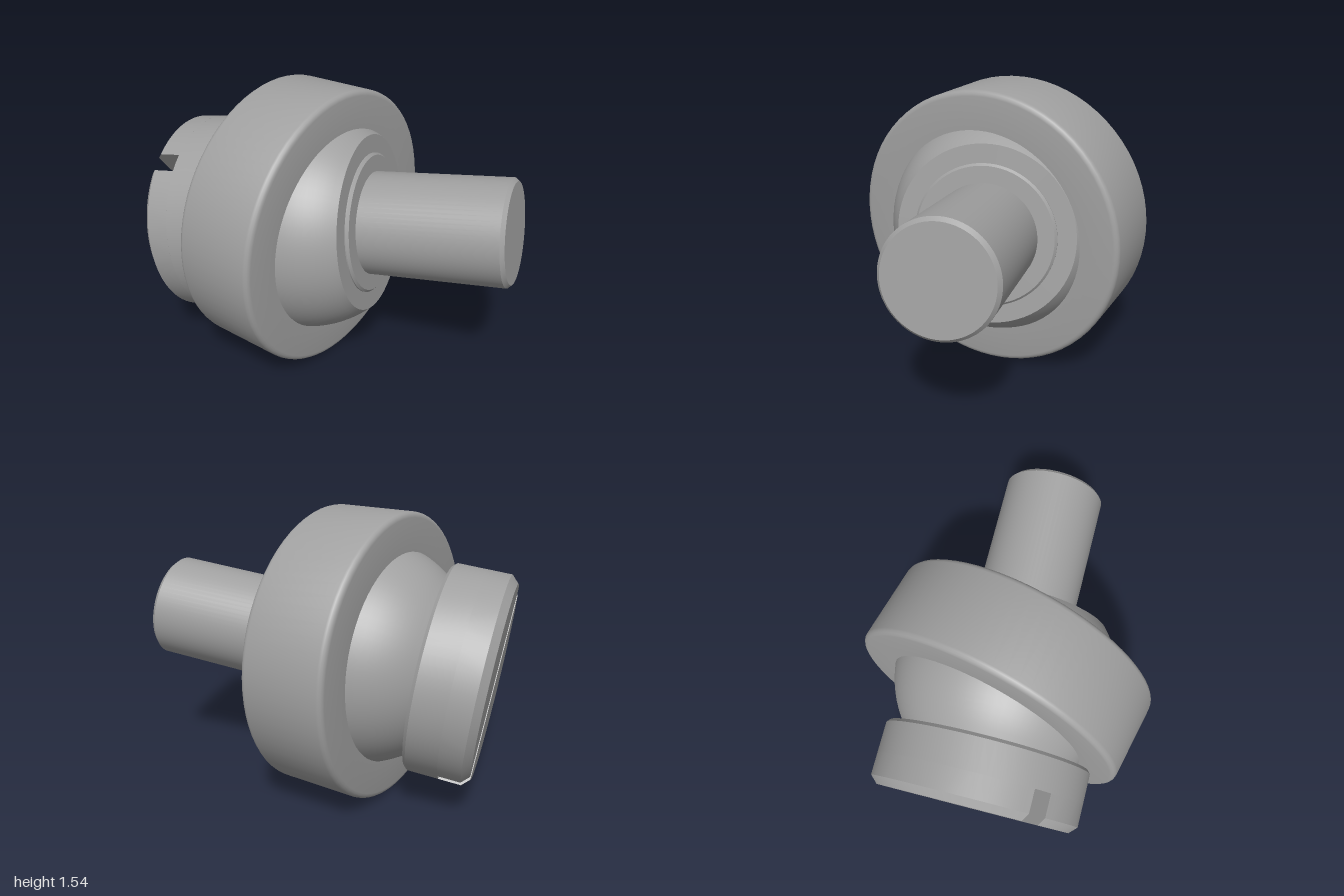
import * as THREE from 'three';
import { toCreasedNormals } from 'three/addons/utils/BufferGeometryUtils.js';
import { ConvexGeometry } from 'three/addons/geometries/ConvexGeometry.js';

const SIDES = 72;

export function createModel() {
  const steel = new THREE.MeshStandardMaterial({ color: 0xa0a0a0 });
  steel.name = 'steel grey';
  const model = new THREE.Group();
  model.name = 'sphericalBearingWithBolt';
  const centre = new THREE.Vector3(-0.015, 0.77, -0.1);

  const add = (parent, name, geometry) => {
    const mesh = new THREE.Mesh(geometry, steel);
    mesh.name = name;
    parent.add(mesh);
  };
  // Profile points are [radius, height along the axis], bottom to top
  const turned = (points) =>
    toCreasedNormals(new THREE.LatheGeometry(points.map(([r, t]) => new THREE.Vector2(r, t)), SIDES), 0.6);

  // Outer race: ring with rounded rims, turned about its own axis
  const race = new THREE.Group();
  race.name = 'outerRace';
  race.position.copy(centre);
  race.quaternion.setFromUnitVectors(new THREE.Vector3(0, 1, 0), new THREE.Vector3(0.36, 0, 0.93).normalize());
  const R = 0.77, half = 0.235, fillet = 0.03;
  const rim = [[0.56, -half]];
  for (const side of [-1, 1]) {
    for (let i = 0; i <= 4; i++) {
      const a = (side < 0 ? i - 4 : i) * Math.PI / 8;
      rim.push([R - fillet + fillet * Math.cos(a), side * (half - fillet) + fillet * Math.sin(a)]);
    }
  }
  rim.push([0.56, half], [0.56, -half]);
  add(race, 'raceRing', turned(rim));
  model.add(race);

  // Bolt frame: y runs along the shaft, x along the screwdriver slot
  const axis = new THREE.Vector3(0.568, 0.135, 0.812).normalize();
  const slot = new THREE.Vector3(-0.55, 0.78, 0.293);
  slot.addScaledVector(axis, -slot.dot(axis)).normalize();
  const bolt = new THREE.Group();
  bolt.name = 'boltAndBall';
  bolt.position.copy(centre);
  bolt.quaternion.setFromRotationMatrix(
    new THREE.Matrix4().makeBasis(slot, axis, new THREE.Vector3().crossVectors(slot, axis)));
  model.add(bolt);

  // Ball: sphere with both ends cut flat
  const ballR = 0.612, flat = 0.382, ball = [[0, -flat]];
  const top = Math.asin(flat / ballR);
  for (let i = 0; i <= 20; i++) {
    const a = top * (i / 10 - 1);
    ball.push([ballR * Math.cos(a), ballR * Math.sin(a)]);
  }
  ball.push([0, flat]);
  add(bolt, 'ball', turned(ball));

  // Shoulder and shaft
  add(bolt, 'shoulder', turned([[0.38, 0.36], [0.38, 0.388], [0.368, 0.4], [0, 0.4]]));
  add(bolt, 'shaft', turned([[0.28, 0.39], [0.28, 1.13], [0.262, 1.15], [0, 1.15]]));

  // Head: solid disc, then two half discs leaving the slot between them
  const headR = 0.566, slotFloor = -0.57;
  add(bolt, 'headDisc', turned([
    [0, slotFloor], [headR, slotFloor], [headR, -0.405], [0.552, -0.388], [0, -0.388]]));
  for (const side of [-1, 1]) {
    const points = [];
    for (const [r, t] of [[headR, slotFloor], [headR, -0.69], [0.525, -0.73]]) {
      const start = Math.asin(0.05 / r);
      for (let i = 0; i <= 36; i++) {
        const a = start + (Math.PI - 2 * start) * i / 36;
        points.push(new THREE.Vector3(r * Math.cos(a), t, side * r * Math.sin(a)));
      }
    }
    add(bolt, side < 0 ? 'headHalfA' : 'headHalfB', toCreasedNormals(new ConvexGeometry(points), 0.6));
  }
  return model;
}
